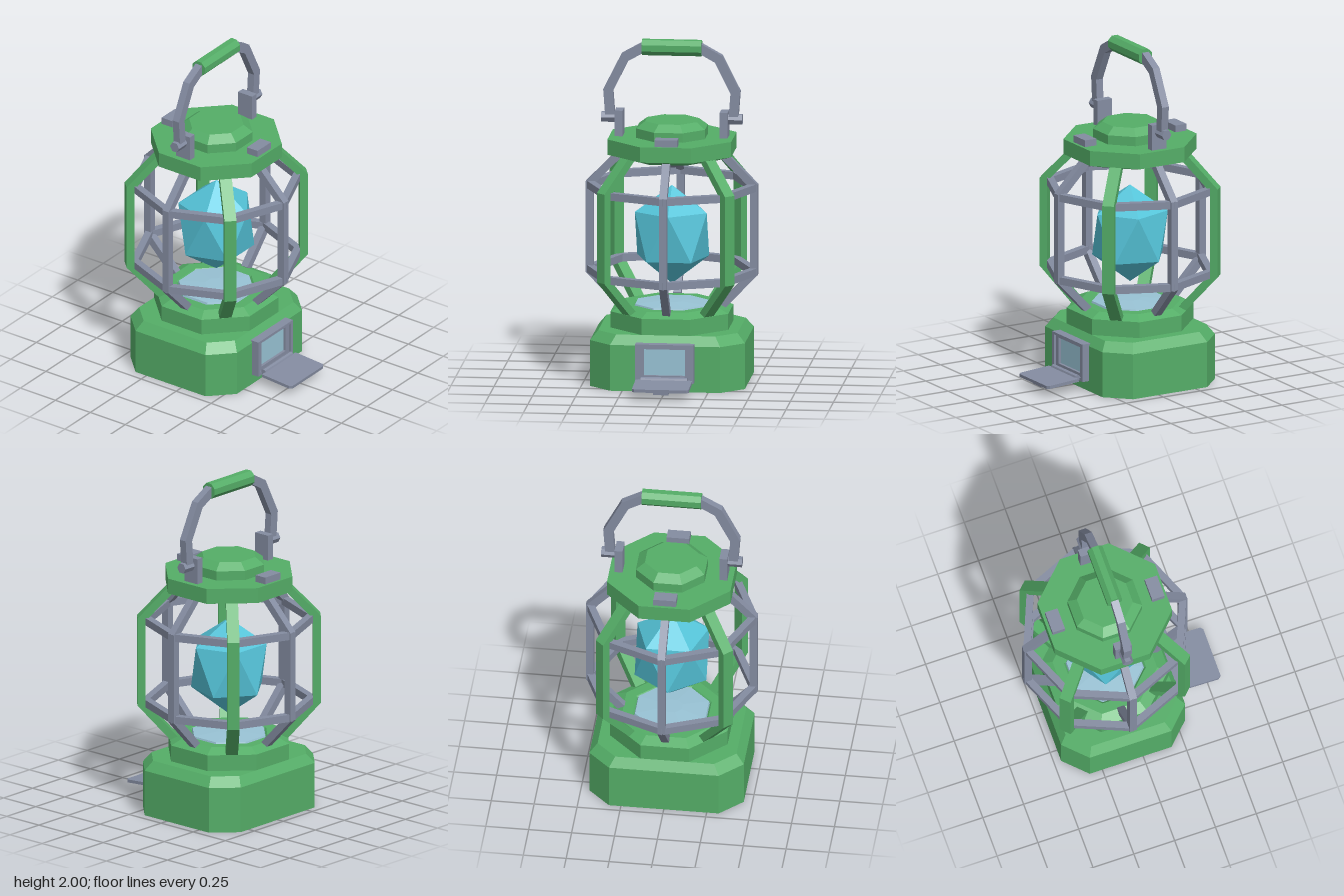
import * as THREE from 'three';
import { ConvexGeometry } from 'three/addons/geometries/ConvexGeometry.js';

const AXIS_Z = -0.077; // the lantern body sits slightly behind the origin

export function createModel() {
  const model = new THREE.Group();
  model.name = 'lantern';
  const body = new THREE.Group();
  body.name = 'lanternBody';
  body.position.z = AXIS_Z;
  model.add(body);

  const paint = (name, color) => {
    const m = new THREE.MeshStandardMaterial({ color, flatShading: true });
    m.name = name;
    return m;
  };
  const green = paint('green enamel', 0x54ad67);
  const steel = paint('grey steel', 0x848ca1);
  const cyan = paint('cyan crystal', 0x55c4d9);
  const glass = paint('pale glass', 0x98c2d4);

  const add = (parent, name, geometry, material, x = 0, y = 0, z = 0) => {
    const mesh = new THREE.Mesh(geometry, material);
    mesh.name = name;
    mesh.position.set(x, y, z);
    parent.add(mesh);
    return mesh;
  };
  const box = (parent, name, size, material, x, y, z) =>
    add(parent, name, new THREE.BoxGeometry(...size), material, x, y, z);

  // Octagonal solid from [apothem, y] pairs, bottom to top, flats facing the axes
  const octagon = (profile) => {
    const pts = profile.map(([a, y]) => new THREE.Vector2(a / Math.cos(Math.PI / 8), y));
    return new THREE.LatheGeometry(pts, 8, Math.PI / 8);
  };

  // Mitred flat strip following a path in the xy plane
  const band = (path, thick, depth) => {
    const p = path.map(([x, y]) => new THREE.Vector2(x, y));
    const side = (s) => p.map((v, i) => {
      const a = p[Math.max(i - 1, 0)], b = p[Math.min(i + 1, p.length - 1)];
      const d1 = (i > 0 ? v.clone().sub(a) : b.clone().sub(v)).normalize();
      const d2 = (i < p.length - 1 ? b.clone().sub(v) : d1.clone()).normalize();
      const n = new THREE.Vector2(-d1.y - d2.y, d1.x + d2.x).normalize();
      const miter = n.dot(new THREE.Vector2(-d1.y, d1.x));
      return v.clone().addScaledVector(n, (s * thick) / 2 / miter);
    });
    const shape = new THREE.Shape([...side(1), ...side(-1).reverse()]);
    return new THREE.ExtrudeGeometry(shape, { depth, bevelEnabled: false }).translate(0, 0, -depth / 2);
  };

  const holed = (outer, inner, depth) => {
    const v = (pts) => pts.map(([x, y]) => new THREE.Vector2(x, y));
    const shape = new THREE.Shape(v(outer));
    shape.holes.push(new THREE.Path(v(inner)));
    return new THREE.ExtrudeGeometry(shape, { depth, bevelEnabled: false });
  };
  const rect = (w, y0, y1) => [[-w, y0], [w, y0], [w, y1], [-w, y1]];

  // Base: oblong block with cut corners and a bevelled top
  const baseGeo = octagon([[0, 0], [1, 0], [1, 0.27], [0.9, 0.325], [0, 0.325]]);
  const pos = baseGeo.attributes.position;
  for (let i = 0; i < pos.count; i++) {
    const x = pos.getX(i), z = pos.getZ(i);
    const k = Math.max(Math.abs(x), Math.abs(z));
    const [cx, cz] = Math.abs(x) > Math.abs(z) ? [0.45, 0.25] : [0.32, 0.38];
    pos.setX(i, Math.sign(x) * cx * k);
    pos.setZ(i, Math.sign(z) * cz * k);
  }
  add(body, 'base', baseGeo, green);
  add(body, 'baseCollar', octagon([[0.342, 0.32], [0.342, 0.42], [0.28, 0.45], [0.22, 0.45], [0.2, 0.43], [0, 0.43]]), green);
  add(body, 'baseLens', octagon([[0.21, 0.44], [0.205, 0.455], [0.06, 0.465], [0, 0.465]]), glass);

  // Lid, cap and the reflector below it
  add(body, 'lid', octagon([[0, 1.31], [0.25, 1.31], [0.36, 1.345], [0.36, 1.435], [0, 1.435]]), green);
  add(body, 'cap', octagon([[0.2, 1.43], [0.2, 1.49], [0.15, 1.53], [0, 1.53]]), green);
  add(body, 'reflector', octagon([[0, 1.25], [0.03, 1.253], [0.19, 1.312]]), steel);
  for (const s of [-1, 1]) box(body, 'lidClip', [0.132, 0.045, 0.076], steel, 0, 1.453, s * 0.305);

  // Crystal: stretched twenty-sided stone with five-sided rings
  const stone = [new THREE.Vector3(0, 1.145, 0), new THREE.Vector3(0, 0.565, 0)];
  for (let i = 0; i < 5; i++) {
    const a = (i * Math.PI * 2) / 5;
    const x = 0.22 * Math.sin(a), z = 0.22 * Math.cos(a);
    stone.push(new THREE.Vector3(x, 0.995, z), new THREE.Vector3(x, 0.72, -z));
  }
  add(body, 'crystal', new ConvexGeometry(stone), cyan);

  // Cage: thin steel bars on the axes, broad green bars on the diagonals
  const thinBar = band([[0.29, 0.44], [0.477, 0.635], [0.477, 1.15], [0.29, 1.34]], 0.045, 0.045);
  const broadBar = band([[0.31, 0.42], [0.508, 0.64], [0.508, 1.15], [0.31, 1.36]], 0.045, 0.07);
  for (let i = 0; i < 8; i++) {
    const odd = i % 2 === 1;
    const bar = add(body, odd ? 'greenCageBar' : 'steelCageBar', odd ? broadBar : thinBar, odd ? green : steel);
    bar.rotation.y = (i * Math.PI) / 4;
  }
  const ringPoints = (r) => Array.from({ length: 8 }, (_, i) =>
    [r * Math.cos((i * Math.PI) / 4), r * Math.sin((i * Math.PI) / 4)]);
  const ringGeo = holed(ringPoints(0.5), ringPoints(0.455), 0.044).rotateX(-Math.PI / 2);
  for (const y of [0.621, 1.118]) add(body, 'cageRing', ringGeo, steel, 0, y, 0);

  // Handle: brackets, pivot pins, bent arms and grip
  for (const s of [-1, 1]) {
    box(body, 'handleBracket', [0.046, 0.155, 0.1], steel, s * 0.305, 1.508, 0);
    const pin = add(body, 'pivotPin', new THREE.CylinderGeometry(0.032, 0.032, 0.09, 6), steel, s * 0.365, 1.54, 0);
    pin.rotation.z = Math.PI / 2;
    const path = [[0.358, 1.54], [0.37, 1.7], [0.272, 1.895], [0.15, 1.963]].map(([x, y]) => [s * x, y]);
    add(body, 'handleArm', band(path, 0.055, 0.045), steel);
  }
  const gripGeo = octagon([[0, -0.173], [0.045, -0.173], [0.045, 0.173], [0, 0.173]]).rotateZ(Math.PI / 2);
  add(body, 'grip', gripGeo, green, 0, 1.955, 0);

  // Front window: stepped frame around a recessed pane
  add(model, 'windowRim', holed(rect(0.17, 0.06, 0.285), rect(0.15, 0.078, 0.27), 0.055), steel, 0, 0, 0.292);
  add(model, 'windowBezel', holed(rect(0.151, 0.077, 0.271), rect(0.12, 0.1, 0.255), 0.04), steel, 0, 0, 0.292);
  box(model, 'windowPane', [0.242, 0.157, 0.008], glass, 0, 0.1775, 0.312);

  // Open flap hinged below the window
  const hinge = add(model, 'flapHinge', new THREE.CylinderGeometry(0.018, 0.018, 0.27, 8), steel, 0, 0.079, 0.358);
  hinge.rotation.z = Math.PI / 2;
  const flapShape = new THREE.Shape([[-0.165, 0], [-0.165, -0.195], [-0.15, -0.21], [0.15, -0.21],
    [0.165, -0.195], [0.165, 0]].map(([x, y]) => new THREE.Vector2(x, y)));
  const flapGeo = new THREE.ExtrudeGeometry(flapShape, { depth: 0.018, bevelEnabled: false }).rotateX(-Math.PI / 2);
  const flap = new THREE.Group();
  flap.name = 'flap';
  flap.position.set(0, 0.064, 0.368);
  flap.rotation.x = 0.075;
  model.add(flap);
  add(flap, 'flapPlate', flapGeo, steel);
  box(flap, 'flapLatch', [0.09, 0.022, 0.035], steel, 0, -0.009, 0.168);

  return model;
}
